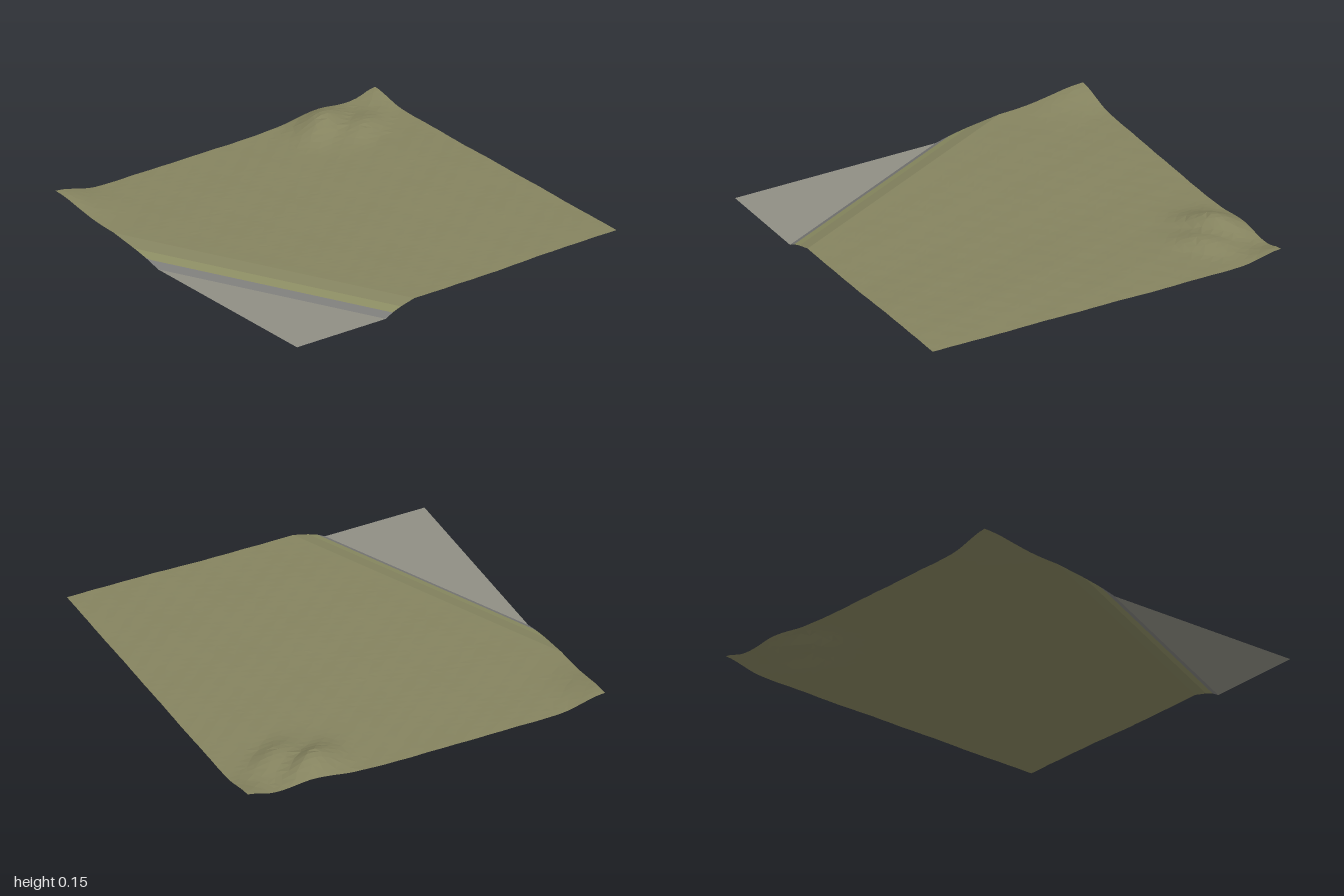
import * as THREE from 'three';

const { smoothstep, lerp, clamp } = THREE.MathUtils;

// Distance from the foot of the bank, positive on the grassy side
const bankDistance = (x, z) => 0.9 * (x + 1) - 0.435 * (z + 0.22);
// x position of the line lying at a given distance from the foot of the bank
const lineX = (d, z) => clamp((d + 0.435 * (z + 0.22)) / 0.9 - 1, -1, 1);

const bump = (x, z, cx, cz, rx, rz) => Math.exp(-(((x - cx) / rx) ** 2) - ((z - cz) / rz) ** 2);

// Diagonal ridge, gentle behind and steep towards the front
function ridge(x, z, cx, cz, length) {
  const along = 0.82 * (x - cx) - 0.57 * (z - cz);
  const across = 0.57 * (x - cx) + 0.82 * (z - cz);
  const width = across > 0 ? 0.075 : 0.12;
  return Math.exp(-((along / length) ** 2) - (across / width) ** 2);
}

// Bank cross-section: distance, height
const BANK = [[-0.03, 0], [0.008, 0.023], [0.055, 0.042], [0.13, 0.064]];

function bankHeight(d) {
  if (d <= BANK[0][0]) return 0;
  for (let i = 1; i < BANK.length; i++) {
    const [d0, h0] = BANK[i - 1], [d1, h1] = BANK[i];
    if (d <= d1) return lerp(h0, h1, (d - d0) / (d1 - d0));
  }
  return BANK[BANK.length - 1][1];
}

function height(x, z) {
  const d = bankDistance(x, z);
  const inland = smoothstep(d, 0.1, 0.35);
  const ripple = 0.0015 * Math.sin(9 * x + 4 * z) * Math.sin(11 * z - 5 * x)
    + 0.001 * Math.sin(37 * x + 17 * z) * Math.sin(29 * z);
  return bankHeight(d)
    + inland * (0.018 * smoothstep(x, 0, 0.85) + ripple)
    + 0.052 * bump(x, z, -1, -1, 0.16, 0.25)
    + 0.073 * ridge(x, z, 0.57, -0.86, 0.17)
    + 0.04 * ridge(x, z, 0.71, -0.72, 0.16)
    + 0.043 * bump(x, z, 1, -1, 0.1, 0.14);
}

// Sheet of ground between two lines that may slant with z
function ground(name, color, startX, endX, columns) {
  const rows = 54;
  const point = (i, j) => {
    const z = -1 + 2 * j / rows;
    const a = startX(z), b = endX(z);
    // Shift inner points a little so the facets look irregular
    const inner = i > 0 && i < columns ? 0.25 * Math.sin(i * 12.9 + j * 78.2) : 0;
    const x = lerp(a, b, (i + inner) / columns);
    return [x, height(x, z), z];
  };
  const positions = [];
  const area = (p, q, r) => Math.abs((q[0] - p[0]) * (r[2] - p[2]) - (q[2] - p[2]) * (r[0] - p[0]));
  const triangle = (p, q, r) => {
    if (area(p, q, r) > 1e-7) positions.push(...p, ...q, ...r);
  };
  for (let j = 0; j < rows; j++) {
    for (let i = 0; i < columns; i++) {
      const a = point(i, j), b = point(i + 1, j), c = point(i + 1, j + 1), d = point(i, j + 1);
      if ((i + j) % 2) {
        triangle(a, d, b);
        triangle(b, d, c);
      } else {
        triangle(a, d, c);
        triangle(a, c, b);
      }
    }
  }
  const geometry = new THREE.BufferGeometry();
  geometry.setAttribute('position', new THREE.Float32BufferAttribute(positions, 3));
  geometry.computeVertexNormals();
  const material = new THREE.MeshStandardMaterial({ color, flatShading: true, side: THREE.DoubleSide });
  const mesh = new THREE.Mesh(geometry, material);
  mesh.name = name;
  return mesh;
}

export function createModel() {
  const group = new THREE.Group();
  group.name = 'terrain';
  const at = (d) => (z) => lineX(d, z);
  const [foot, kerb, bank, crest] = BANK.map(([d]) => at(d));
  group.add(
    ground('lowGround', 0x8f8e84, () => -1, foot, 14),
    ground('kerb', 0x7d7d7a, foot, kerb, 1),
    ground('lowerBank', 0x8c8d63, kerb, bank, 1),
    ground('upperBank', 0x858460, bank, crest, 2),
    ground('grassland', 0x85835f, crest, () => 1, 50),
  );
  return group;
}
